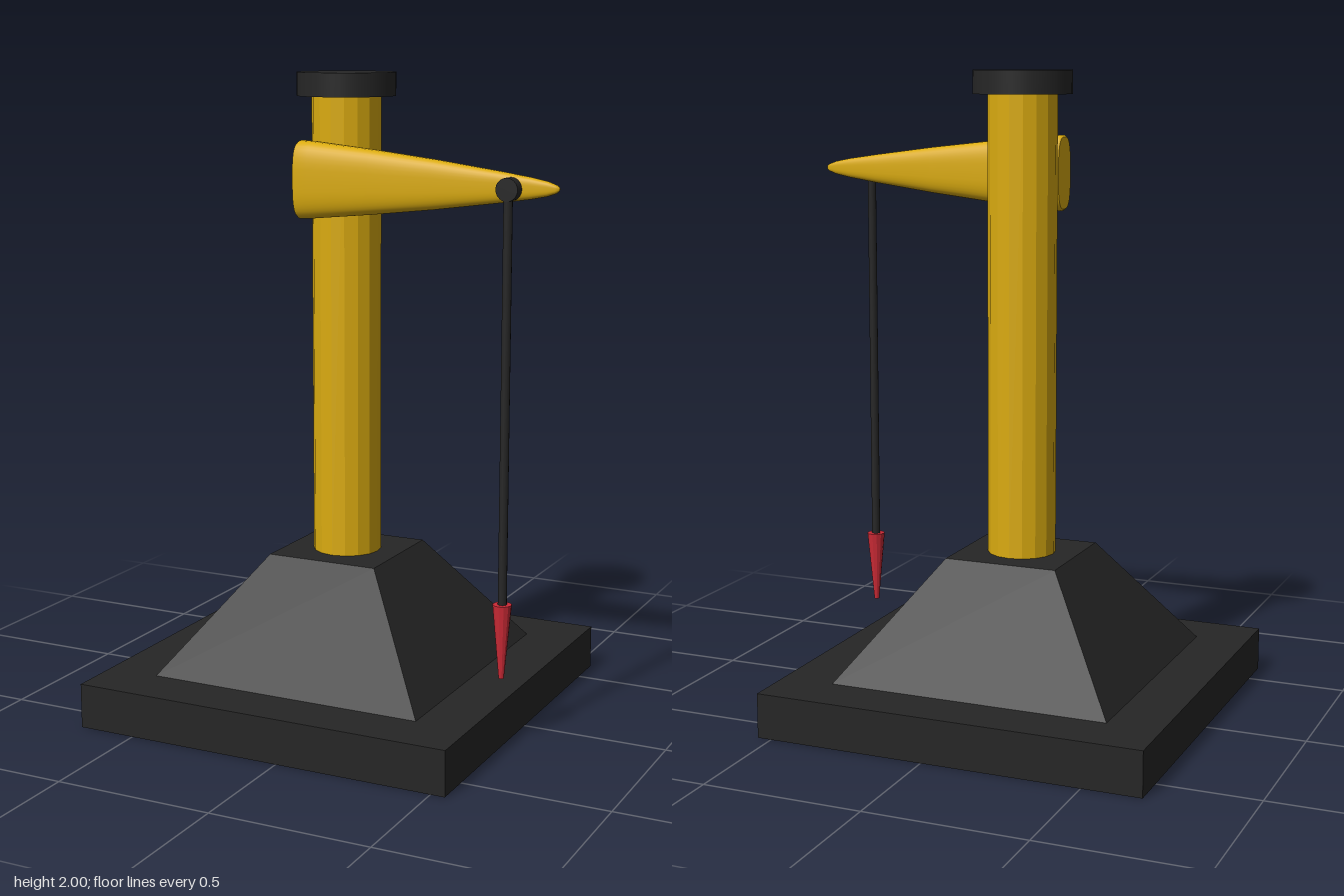
import * as THREE from 'three';

const material = (name, color) => {
  const m = new THREE.MeshStandardMaterial({ color });
  m.name = name;
  return m;
};

// Tapered arm along +x, lofted through rounded cross-sections [x, half height, half depth]
function armGeometry(sections, sides = 40) {
  const pos = [], index = [];
  const power = (v) => Math.sign(v) * Math.abs(v) ** (2 / 3);
  const addRing = ([x, hy, hz]) => {
    for (let j = 0; j < sides; j++) {
      const a = (j / sides) * Math.PI * 2;
      pos.push(x, power(Math.cos(a)) * hy, power(Math.sin(a)) * hz);
    }
  };
  sections.forEach(addRing);
  for (let i = 0; i < sections.length - 1; i++) {
    for (let j = 0; j < sides; j++) {
      const k = (j + 1) % sides;
      const a = i * sides + j, b = i * sides + k;
      index.push(a, b, a + sides, b, b + sides, a + sides);
    }
  }
  // Flat root end with its own vertices, so its edge stays sharp
  const start = pos.length / 3;
  addRing(sections[0]);
  pos.push(sections[0][0], 0, 0);
  for (let j = 0; j < sides; j++) {
    index.push(start + sides, start + ((j + 1) % sides), start + j);
  }
  const g = new THREE.BufferGeometry();
  g.setAttribute('position', new THREE.Float32BufferAttribute(pos, 3));
  g.setIndex(index);
  g.computeVertexNormals();
  return g;
}

export function createModel() {
  const model = new THREE.Group();
  model.name = 'hangingPointerStand';

  const black = material('black', 0x262626);
  const yellow = material('yellow', 0xdaab10);
  const red = material('red', 0xcc2a36);
  const flat = (g) => {
    const f = g.toNonIndexed();
    f.computeVertexNormals();
    return f;
  };
  const add = (name, geometry, mat, x, y, z) => {
    const mesh = new THREE.Mesh(geometry, mat);
    mesh.name = name;
    mesh.position.set(x, y, z);
    model.add(mesh);
    return mesh;
  };
  const axis = -0.07; // x of the column
  const hang = { x: 0.545, z: 0.2 }; // cord position

  // Base slab and truncated pyramid
  add('baseSlab', new THREE.BoxGeometry(1.23, 0.14, 1.23), black, axis, 0.07, 0);
  const pyramid = new THREE.CylinderGeometry(0.182 * Math.SQRT2, 0.447 * Math.SQRT2, 0.36, 4);
  pyramid.rotateY(Math.PI / 4);
  add('basePyramid', flat(pyramid), black, axis, 0.32, 0);

  // Column and cap
  add('column', flat(new THREE.CylinderGeometry(0.107, 0.107, 1.44, 16)), yellow, axis, 1.22, 0);
  add('columnCap', new THREE.CylinderGeometry(0.152, 0.152, 0.072, 40), black, axis, 1.964, 0);

  // Arm fixed to the front of the column
  const arm = armGeometry([
    [-0.147, 0.112, 0.053], [-0.14, 0.118, 0.057], [-0.1, 0.116, 0.057],
    [0.1, 0.096, 0.05], [0.3, 0.073, 0.04], [0.5, 0.046, 0.029],
    [0.6, 0.031, 0.021], [0.65, 0.021, 0.016], [0.675, 0.012, 0.012],
    [0.684, 0.005, 0.006], [0.686, 0, 0],
  ]);
  add('arm', arm, yellow, 0, 1.682, 0.158);

  // Pivot, cord and pointer
  const pivot = new THREE.CylinderGeometry(0.034, 0.034, 0.036, 20);
  pivot.rotateX(Math.PI / 2);
  add('pivot', pivot, black, hang.x, 1.68, 0.196);
  add('cord', new THREE.CylinderGeometry(0.0135, 0.0135, 1.24, 12), black, hang.x, 1.06, hang.z);
  add('pointer', flat(new THREE.CylinderGeometry(0.029, 0.008, 0.23, 12)), red, hang.x, 0.335, hang.z);

  return model;
}
